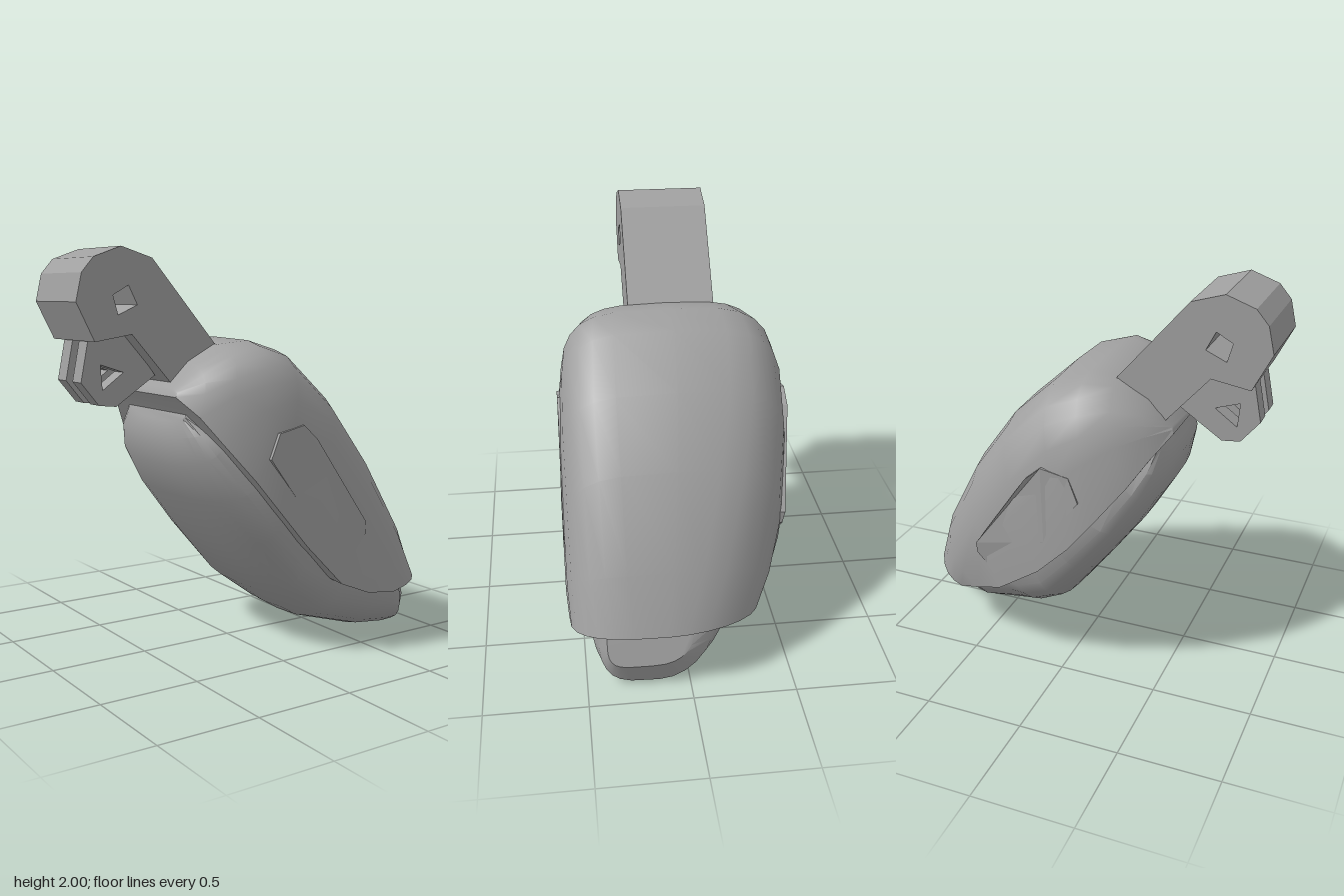
import * as THREE from 'three';
import { toCreasedNormals } from 'three/addons/utils/BufferGeometryUtils.js';

const grey = new THREE.MeshStandardMaterial({ color: 0xa0a0a0 });
grey.name = 'plain grey';

function part(name, geometry) {
  const mesh = new THREE.Mesh(geometry, grey);
  mesh.name = name;
  return mesh;
}

// Loft of arched sections. Each station is
// [seamX, seamY, crownX, crownY, zStart, zEnd, roundnessStart, roundnessEnd, liftOfEndSeam]
function archLoft(stations, crease) {
  const n = 14, pos = [], index = [];
  for (const [sx, sy, cx, cy, z0, z1, r0, r1, lift = 0] of stations) {
    for (let j = 0; j <= n; j++) {
      const a = (Math.PI * j) / n, u = Math.cos(a), firstHalf = j <= n / 2;
      const power = firstHalf ? r0 : r1, base = firstHalf ? 0 : lift;
      const rise = base + (1 - base) * Math.pow(Math.max(0, Math.sin(a)), power);
      const side = Math.sign(u) * Math.pow(Math.abs(u), power);
      pos.push(sx + (cx - sx) * rise, sy + (cy - sy) * rise, (z0 + z1) / 2 + ((z0 - z1) / 2) * side);
    }
  }
  const m = n + 1, last = (stations.length - 1) * m;
  for (let s = 0; s < stations.length - 1; s++) {
    for (let j = 0; j < m; j++) {
      const k = (j + 1) % m, a = s * m, b = a + m;
      index.push(a + j, b + j, b + k, a + j, b + k, a + k);
    }
  }
  // End caps
  for (let j = 1; j < n; j++) {
    index.push(0, j, j + 1, last, last + j + 1, last + j);
  }
  const g = new THREE.BufferGeometry();
  g.setAttribute('position', new THREE.Float32BufferAttribute(pos, 3));
  g.setIndex(index);
  return toCreasedNormals(g, crease);
}

// Flat-sided plate from an outline in x and y, between two depths
function plate(outline, hole, z0, z1) {
  const toPoints = (list) => list.map(([x, y]) => new THREE.Vector2(x, y));
  const shape = new THREE.Shape(toPoints(outline));
  if (hole) shape.holes.push(new THREE.Path(toPoints(hole)));
  const g = new THREE.ExtrudeGeometry(shape, { depth: z1 - z0, bevelEnabled: false });
  return g.translate(0, 0, z0);
}

export function createModel() {
  const model = new THREE.Group();
  model.name = 'jointedLimbSegment';

  // Broad upper shell, narrowing and chamfered on its rear side towards the lower end
  model.add(part('upperShell', archLoft([
    [-0.49, 1.31, -0.47, 1.35, 0.31, -0.27, 0.55, 0.55],
    [-0.42, 1.22, -0.35, 1.47, 0.41, -0.41, 0.55, 0.55],
    [-0.34, 1.10, -0.20, 1.55, 0.48, -0.50, 0.5, 0.55],
    [-0.20, 0.92, -0.06, 1.57, 0.55, -0.57, 0.45, 0.54],
    [-0.08, 0.77, 0.10, 1.52, 0.57, -0.59, 0.45, 0.52],
    [0.08, 0.58, 0.34, 1.30, 0.58, -0.58, 0.45, 0.54, 0.03],
    [0.30, 0.36, 0.57, 1.00, 0.58, -0.53, 0.48, 0.65, 0.1],
    [0.47, 0.29, 0.81, 0.60, 0.58, -0.44, 0.55, 0.85, 0.13],
    [0.65, 0.26, 0.93, 0.32, 0.57, -0.36, 0.68, 1.1],
  ], 0.6)));

  // Rounded lower shell tucked inside the upper one, ending in a blunt off-centre tip
  model.add(part('lowerShell', archLoft([
    [-0.42, 1.23, -0.44, 1.18, -0.27, 0.29, 0.7, 0.7],
    [-0.36, 1.14, -0.46, 1.11, -0.38, 0.38, 0.7, 0.7],
    [-0.30, 1.08, -0.43, 0.96, -0.45, 0.44, 0.7, 0.7],
    [-0.15, 0.88, -0.33, 0.79, -0.51, 0.50, 0.7, 0.7],
    [0.00, 0.71, -0.14, 0.53, -0.53, 0.52, 0.75, 0.7],
    [0.15, 0.55, 0.05, 0.28, -0.49, 0.52, 0.8, 0.7],
    [0.33, 0.44, 0.20, 0.16, -0.41, 0.50, 0.9, 0.7],
    [0.45, 0.42, 0.28, 0.11, -0.36, 0.49, 0.95, 0.65],
    [0.60, 0.40, 0.62, 0.01, -0.29, 0.48, 1, 0.65],
    [0.72, 0.38, 0.79, 0.00, -0.20, 0.47, 1, 0.6],
    [0.79, 0.36, 0.86, 0.01, -0.14, 0.44, 1, 0.5],
    [0.83, 0.29, 0.90, 0.13, -0.02, 0.40, 0.8, 0.4],
  ], 0.5)));

  // Long panels on both flanks, almost flush and bent to follow the shell
  const panel = [[-0.13, 1.02], [-0.08, 1.14], [0.06, 1.17], [0.14, 1.10], [0.45, 0.66],
    [0.45, 0.60], [0.38, 0.52], [0.26, 0.55], [0.05, 0.78]];
  const front = plate(panel, null, 0.54, 0.571);
  const rear = plate(panel, null, -0.588, -0.55);
  for (const [geometry, bend] of [[front, 0.03], [rear, 0.25]]) {
    const p = geometry.attributes.position;
    for (let i = 0; i < p.count; i++) {
      const along = 0.6 * p.getX(i) + 0.8 * (1.17 - p.getY(i));
      p.setZ(i, p.getZ(i) + bend * (along - 0.2) ** 2);
    }
    geometry.computeVertexNormals();
  }
  model.add(part('frontSidePanel', front), part('rearSidePanel', rear));

  // Connecting arm with a square pivot hole
  const pivotHole = [[-0.745, 1.78], [-0.665, 1.825], [-0.62, 1.735], [-0.72, 1.69]];
  model.add(part('connectingArm', plate([
    [-0.84, 1.57], [-0.65, 1.60], [-0.43, 1.35], [-0.34, 1.25], [-0.15, 1.48], [-0.20, 1.55],
    [-0.54, 1.95], [-0.70, 2.00], [-0.84, 1.95], [-0.90, 1.88], [-0.93, 1.75],
  ], pivotHole, -0.25, 0.19)));

  // Pair of lugs set inward below the arm, each with a triangular hole
  const lug = [[-0.83, 1.58], [-0.87, 1.38], [-0.78, 1.27], [-0.69, 1.26], [-0.48, 1.40], [-0.64, 1.61]];
  const triangle = [[-0.77, 1.46], [-0.76, 1.34], [-0.65, 1.42]];
  for (const [name, z0, z1] of [['rearLug', -0.15, -0.06], ['frontLug', 0.01, 0.10]]) {
    model.add(part(name, plate(lug, triangle, z0, z1)));
  }
  return model;
}
